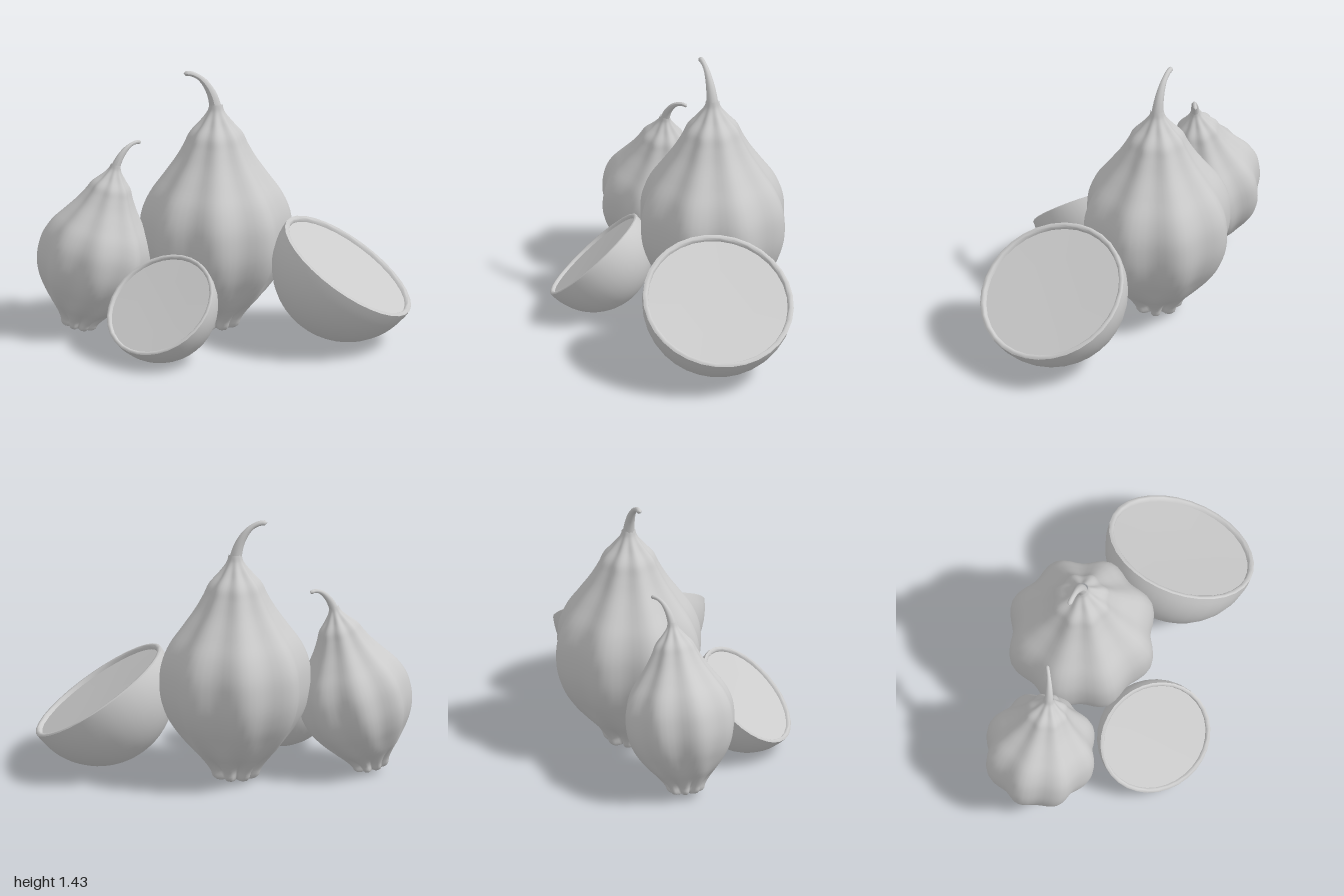
import * as THREE from 'three';
import { toCreasedNormals } from 'three/addons/utils/BufferGeometryUtils.js';

const material = new THREE.MeshStandardMaterial({ color: 0xcccccc });

function addMesh(parent, name, geometry) {
  const mesh = new THREE.Mesh(geometry, material);
  mesh.name = name;
  parent.add(mesh);
  return mesh;
}

// Body profile, bottom to top: [radius, height, ribbing].
// Positive ribbing sinks the eight valleys, negative ribbing creases the ridge lines.
const PROFILE = [
  [0.001, 0.012, 0], [0.03, 0.05, -0.2], [0.055, 0.03, -0.5], [0.09, 0.012, -0.5],
  [0.125, 0.025, -0.42], [0.145, 0.07, -0.28], [0.205, 0.15, -0.04], [0.295, 0.25, 0.08],
  [0.36, 0.35, 0.1], [0.395, 0.45, 0.1], [0.405, 0.55, 0.1], [0.395, 0.65, 0.1],
  [0.355, 0.75, 0.1], [0.285, 0.85, 0.1], [0.215, 0.95, 0.1], [0.17, 1.03, 0.1],
  [0.142, 1.09, 0.12], [0.09, 1.15, 0.15], [0.045, 1.21, 0.05], [0.034, 1.25, 0],
].map(p => new THREE.Vector3(...p));

function ribbedBody() {
  const rows = 76, cols = 64, positions = [], index = [];
  const curve = new THREE.CatmullRomCurve3(PROFILE);
  for (let i = 0; i <= rows; i++) {
    const { x: radius, y, z: rib } = curve.getPoint(i / rows);
    for (let j = 0; j < cols; j++) {
      const a = (j / cols) * Math.PI * 2;
      const valley = 0.5 - 0.5 * Math.cos(8 * a);
      const r = radius * (1 - Math.abs(rib) * (rib > 0 ? valley : (1 - valley) ** 2));
      positions.push(r * Math.sin(a), y, r * Math.cos(a));
      if (i < rows) {
        const k = (j + 1) % cols, p = i * cols, q = p + cols;
        index.push(p + j, p + k, q + k, p + j, q + k, q + j);
      }
    }
  }
  const geometry = new THREE.BufferGeometry();
  geometry.setAttribute('position', new THREE.Float32BufferAttribute(positions, 3));
  geometry.setIndex(index);
  geometry.computeVertexNormals();
  return geometry;
}

// Curved stem: a tube whose rings shrink toward the tip
function taperedStem(angle) {
  const path = new THREE.CatmullRomCurve3(
    [[0, 1.16], [0.005, 1.24], [0.03, 1.32], [0.075, 1.385], [0.125, 1.415], [0.172, 1.42]]
      .map(([out, y]) => new THREE.Vector3(out * Math.cos(angle), y, out * Math.sin(angle))));
  const steps = 28, sides = 10;
  const geometry = new THREE.TubeGeometry(path, steps, 0.04, sides);
  const pos = geometry.attributes.position, v = new THREE.Vector3();
  for (let i = 0; i <= steps; i++) {
    const t = i / steps, centre = path.getPointAt(t);
    const scale = i === steps ? 0.02 : 1 - 0.66 * Math.min(1, t * 1.3);
    for (let j = 0; j <= sides; j++) {
      const n = i * (sides + 1) + j;
      v.fromBufferAttribute(pos, n).sub(centre).multiplyScalar(scale).add(centre);
      pos.setXYZ(n, v.x, v.y, v.z);
    }
  }
  geometry.computeVertexNormals();
  return geometry;
}

function wholeFruit(name, stemAngle) {
  const fruit = new THREE.Group();
  fruit.name = name;
  addMesh(fruit, 'ribbedBody', ribbedBody());
  addMesh(fruit, 'stem', taperedStem(stemAngle));
  return fruit;
}

// Half fruit: round skin, narrow lip and slightly sunken cut face
function halfFruit(name, radius, normal) {
  const half = new THREE.Group();
  half.name = name;
  const skin = [];
  for (let i = 0; i <= 16; i++) {
    const a = (i / 16) * Math.PI / 2;
    skin.push(new THREE.Vector2(Math.sin(a), -Math.cos(a)));
  }
  const lip = [[1, 0], [0.985, 0.012], [0.95, 0.012], [0.935, 0], [0.925, -0.04]];
  const cut = [[0.925, -0.04], [0.5, -0.05], [0, -0.06]];
  const toPoints = list => list.map(p => new THREE.Vector2(...p));
  const parts = { skin, lip: toPoints(lip), cutFace: toPoints(cut) };
  for (const [part, points] of Object.entries(parts)) {
    const geometry = new THREE.LatheGeometry(points, 32).scale(radius, radius, radius);
    addMesh(half, part, toCreasedNormals(geometry, 0.7));
  }
  half.quaternion.setFromUnitVectors(new THREE.Vector3(0, 1, 0), new THREE.Vector3(...normal).normalize());
  return half;
}

export function createModel() {
  const model = new THREE.Group();
  model.name = 'fruitGroup';

  const large = wholeFruit('largeFruit', Math.PI);
  large.position.set(-0.04, 0, -0.215);

  const small = wholeFruit('smallFruit', -0.58);
  small.scale.setScalar(0.75);
  small.rotation.z = -0.22;
  small.position.set(-0.775, 0.012, -0.17);

  const largeHalf = halfFruit('largeHalf', 0.405, [0.56, 0.82, 0.09]);
  largeHalf.position.set(0.66, 0.43, 0.055);

  const smallHalf = halfFruit('smallHalf', 0.31, [-0.42, 0.72, 0.55]);
  smallHalf.position.set(-0.34, 0.312, 0.345);

  model.add(large, small, largeHalf, smallHalf);
  return model;
}
